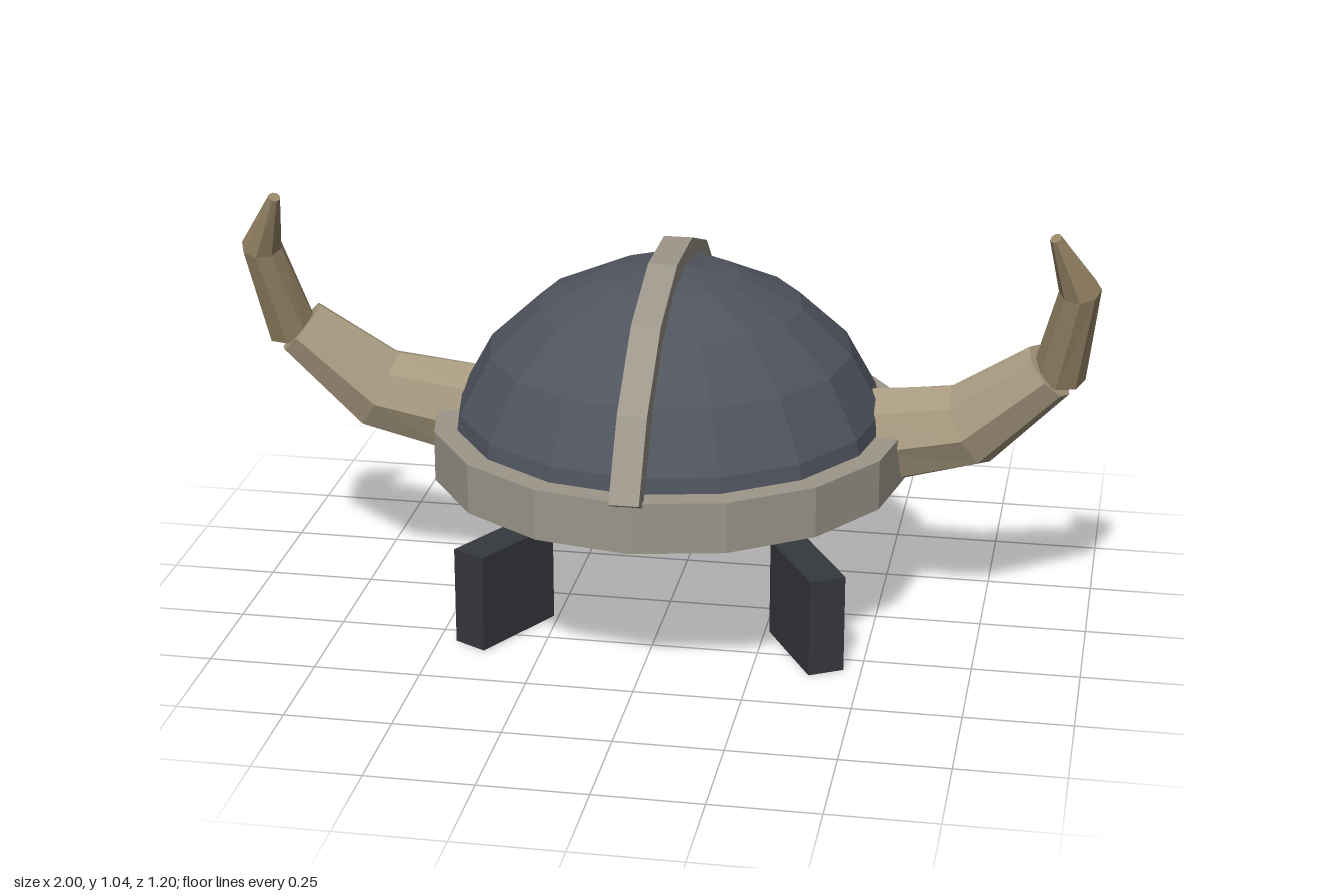
import * as THREE from 'three';

const flat = (color) => new THREE.MeshStandardMaterial({ color, flatShading: true, side: THREE.DoubleSide });

function add(parent, name, geometry, material) {
  const mesh = new THREE.Mesh(geometry, material);
  mesh.name = name;
  parent.add(mesh);
  return mesh;
}

// Closed loft of octagonal rings [x, y, z, radius], mitred at the bends
function loft(rings, sides = 8) {
  const centres = rings.map(([x, y, z]) => new THREE.Vector3(x, y, z));
  const last = rings.length - 1;
  const pos = [], index = [];
  rings.forEach(([, , , r], k) => {
    const t = new THREE.Vector3();
    if (k > 0) t.add(centres[k].clone().sub(centres[k - 1]).normalize());
    if (k < last) t.add(centres[k + 1].clone().sub(centres[k]).normalize());
    t.normalize();
    const v = new THREE.Vector3(0, 0, 1).addScaledVector(t, -t.z).normalize();
    const w = t.clone().cross(v);
    for (let i = 0; i < sides; i++) {
      const a = (i / sides) * Math.PI * 2;
      const p = centres[k].clone().addScaledVector(v, r * Math.cos(a)).addScaledVector(w, r * Math.sin(a));
      pos.push(p.x, p.y, p.z);
    }
  });
  const start = pos.length / 3, end = start + 1;
  pos.push(...centres[0].toArray(), ...centres[last].toArray());
  for (let i = 0; i < sides; i++) {
    const j = (i + 1) % sides;
    for (let k = 0; k < last; k++) {
      const a = k * sides, b = a + sides;
      index.push(a + i, a + j, b + j, a + i, b + j, b + i);
    }
    index.push(start, j, i, end, last * sides + i, last * sides + j);
  }
  const g = new THREE.BufferGeometry();
  g.setAttribute('position', new THREE.Float32BufferAttribute(pos, 3));
  g.setIndex(index);
  g.computeVertexNormals();
  return g;
}

export function createModel() {
  const model = new THREE.Group();
  model.name = 'hornedHelmet';
  const steel = flat(0x50545e), trim = flat(0x9c968a);
  const hornLight = flat(0xa89a80), hornDark = flat(0x998768), dark = flat(0x35383e);

  // Thick hollow dome: outer profile up to the pole, inner profile back down
  const profile = [];
  const arc = (r, h, k) => new THREE.Vector2(
    k === 5 ? 0 : r * Math.cos(k * Math.PI / 10), 0.375 + h * Math.sin(k * Math.PI / 10));
  for (let k = 0; k <= 5; k++) profile.push(arc(0.53, 0.488, k));
  for (let k = 5; k >= 0; k--) profile.push(arc(0.485, 0.445, k));
  profile.push(profile[0].clone());
  add(model, 'dome', new THREE.LatheGeometry(profile, 16), steel);

  // Band around the lower edge
  const band = [[0.565, 0.37], [0.565, 0.49], [0.5, 0.49], [0.525, 0.37], [0.565, 0.37]];
  add(model, 'rimBand', new THREE.LatheGeometry(band.map(([x, y]) => new THREE.Vector2(x, y)), 16), trim);

  // Crest strip running front to back over the dome
  const outer = [[0.6, 0.5], [0.495, 0.67], [0.32, 0.82], [0.105, 0.895]];
  const inner = [[0.085, 0.84], [0.285, 0.76], [0.44, 0.63], [0.55, 0.475]];
  const flip = (pts) => pts.map(([z, y]) => [-z, y]).reverse();
  const outline = [...outer, ...flip(outer), ...flip(inner), ...inner];
  const crest = new THREE.ExtrudeGeometry(
    new THREE.Shape(outline.map(([z, y]) => new THREE.Vector2(z, y))), { depth: 0.068, bevelEnabled: false });
  crest.translate(0, 0, -0.034).rotateY(-Math.PI / 2);
  add(model, 'crestStrip', crest, trim);

  for (const s of [1, -1]) {
    const side = s > 0 ? 'left' : 'right';
    const mirror = (rings) => rings.map(([x, y, z, r]) => [s * x, y, z, r]);

    // Horn: thick lower section and a tapering, upturned tip
    const horn = new THREE.Group();
    horn.name = side + 'Horn';
    add(horn, 'hornBase', loft(mirror([
      [0.505, 0.457, -0.035, 0.117], [0.71, 0.51, 0, 0.103], [0.888, 0.665, 0.03, 0.073]])), hornLight);
    add(horn, 'hornTip', loft(mirror([
      [0.91, 0.66, 0.032, 0.062], [0.952, 0.89, 0.11, 0.048], [0.895, 1.03, 0.175, 0.014]])), hornDark);
    model.add(horn);

    // Angled eye block below the rim
    const eye = add(model, side + 'Eye', new THREE.BoxGeometry(0.087, 0.235, 0.25), dark);
    eye.position.set(s * 0.36, 0.1175, 0.2175);
    eye.rotation.y = s * 0.51;
  }
  return model;
}
